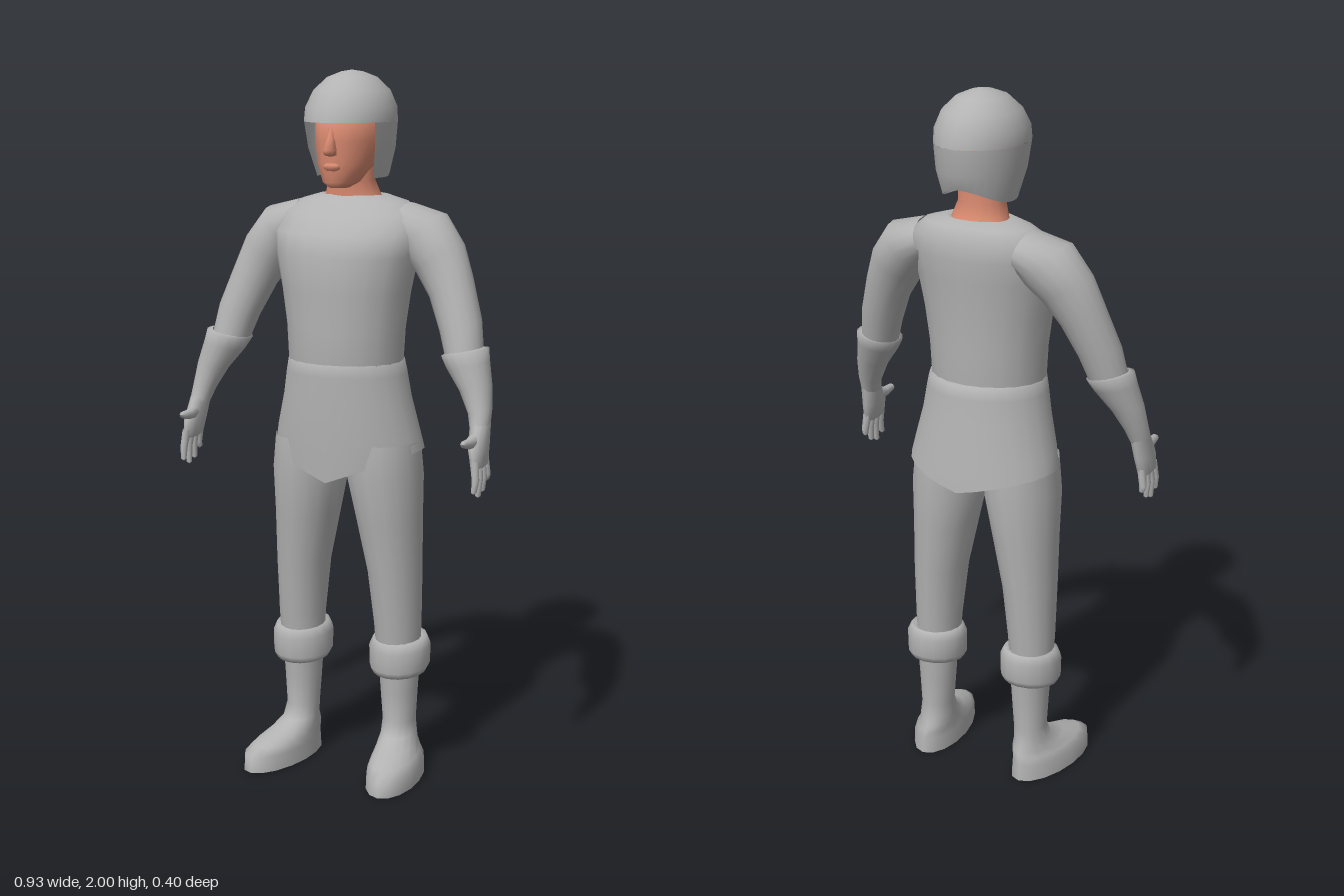
import * as THREE from 'three';

// Skin elliptical rings listed from base to tip.
// Ring: [x, y, z, radiusX, radiusZ, roll, pitch, skew]; y may be a function of angle.
function loft(rings, { seg = 16, side = 1, start = 0, arc = Math.PI * 2 } = {}) {
  const closed = arc >= Math.PI * 2 - 1e-6;
  const cols = closed ? seg : seg + 1;
  const pos = [], idx = [];
  for (const [x, y, z, a, b, roll = 0, pitch = 0, skew = 0] of rings) {
    for (let j = 0; j < cols; j++) {
      const t = start + (arc * j) / seg;
      const u = Math.cos(t) * a, v = Math.sin(t) * b;
      const py = typeof y === 'function' ? y(t) : y;
      pos.push(
        side * (x + u * Math.cos(roll) + skew * v),
        py + u * Math.sin(roll) + v * Math.sin(pitch),
        z + v * Math.cos(pitch));
    }
  }
  for (let i = 0; i < rings.length - 1; i++) {
    for (let j = 0; j < seg; j++) {
      const k = (j + 1) % cols;
      const p = i * cols + j, q = i * cols + k, r = p + cols, s = q + cols;
      if (side > 0) idx.push(p, r, q, q, r, s);
      else idx.push(p, q, r, q, s, r);
    }
  }
  const g = new THREE.BufferGeometry();
  g.setAttribute('position', new THREE.Float32BufferAttribute(pos, 3));
  g.setIndex(idx);
  g.computeVertexNormals();
  return g;
}

export function createModel() {
  const model = new THREE.Group();
  model.name = 'figure';
  const cloth = new THREE.MeshStandardMaterial({ color: 0xb3b3b3, side: THREE.DoubleSide });
  cloth.name = 'grey';
  const skin = new THREE.MeshStandardMaterial({ color: 0xd98a70 });
  skin.name = 'skin';

  const add = (name, rings, mat = cloth, opts) => {
    const m = new THREE.Mesh(loft(rings, opts), mat);
    m.name = name;
    model.add(m);
  };

  // Head and neck
  add('neck', [
    [0, 1.62, -0.07, 0.1, 0.08], [0, 1.66, -0.06, 0.08, 0.068],
    [0, 1.7, -0.05, 0.066, 0.062], [0, 1.78, -0.05, 0.066, 0.07],
  ], skin);
  add('head', [
    [0, 1.683, 0.03, 0, 0], [0, 1.685, 0.03, 0.028, 0.03], [0, 1.7, 0.015, 0.05, 0.062],
    [0, 1.75, -0.02, 0.077, 0.102], [0, 1.81, -0.035, 0.088, 0.12],
    [0, 1.88, -0.04, 0.088, 0.125], [0, 1.93, -0.045, 0, 0],
  ], skin);
  add('nose', [
    [0, 1.77, 0.08, 0, 0], [0, 1.775, 0.083, 0.018, 0.015],
    [0, 1.788, 0.085, 0.019, 0.027], [0, 1.82, 0.08, 0.012, 0.015], [0, 1.85, 0.078, 0.008, 0.006],
  ], skin, { seg: 8 });
  add('lips', [
    [0, 1.73, 0.07, 0.015, 0.008], [0, 1.738, 0.075, 0.025, 0.012],
    [0, 1.748, 0.074, 0.026, 0.014], [0, 1.756, 0.07, 0.012, 0.008],
  ], skin, { seg: 8 });

  // Helmet dome and the guard around ears and nape
  add('helmetDome', [
    [0, 1.862, -0.045, 0.123, 0.155], [0, 1.9, -0.047, 0.122, 0.148],
    [0, 1.945, -0.05, 0.103, 0.122], [0, 1.98, -0.05, 0.067, 0.08],
    [0, 1.995, -0.05, 0.03, 0.036], [0, 2, -0.05, 0, 0],
  ], cloth, { seg: 20 });
  const guardEdge = (t) => 1.71 + 0.04 * Math.max(0, -Math.sin(t)) ** 2;
  add('helmetGuard', [
    [0, guardEdge, -0.06, 0.097, 0.112], [0, 1.79, -0.051, 0.116, 0.141],
    [0, 1.862, -0.045, 0.123, 0.155],
  ], cloth, { seg: 18, start: -Math.PI - 0.5, arc: Math.PI + 1 });

  // Shirt body
  add('shirt', [
    [0, 1.14, -0.015, 0.16, 0.13], [0, 1.2, -0.013, 0.166, 0.142],
    [0, 1.3, -0.014, 0.172, 0.144], [0, 1.4, -0.016, 0.187, 0.148],
    [0, 1.5, -0.02, 0.208, 0.154], [0, 1.56, -0.035, 0.222, 0.146],
    [0, 1.61, -0.058, 0.205, 0.12], [0, 1.645, -0.068, 0.16, 0.092],
    [0, 1.662, -0.065, 0.1, 0.07], [0, 1.655, -0.06, 0.075, 0.062],
  ], cloth, { seg: 20 });

  // Tunic skirt with pointed hem, and hips beneath
  const hem = (t) => Math.sin(t) >= 0
    ? 0.87 + 0.085 * Math.abs(Math.cos(t))
    : 0.905 + 0.05 * Math.abs(Math.cos(t));
  add('tunicSkirt', [
    [0, hem, -0.04, 0.222, 0.16], [0, 1.0, -0.032, 0.213, 0.159],
    [0, 1.1, -0.024, 0.188, 0.154], [0, 1.17, -0.02, 0.176, 0.151],
    [0, 1.205, -0.018, 0.168, 0.15], [0, 1.21, -0.015, 0.155, 0.13],
  ], cloth, { seg: 24 });
  add('hips', [
    [0, 0.87, -0.03, 0.02, 0.03], [0, 0.9, -0.03, 0.1, 0.09],
    [0, 0.96, -0.03, 0.19, 0.125], [0, 1.08, -0.025, 0.17, 0.13],
  ]);

  for (const side of [1, -1]) {
    const label = side > 0 ? 'left' : 'right';
    const limb = (name, rings, seg = 16) => add(label + name, rings, cloth, { side, seg });

    // Legs
    limb('Leg', [
      [0.155, 0.36, -0.04, 0.063, 0.068], [0.154, 0.44, -0.038, 0.067, 0.076],
      [0.146, 0.6, -0.034, 0.076, 0.094], [0.13, 0.75, -0.03, 0.092, 0.11],
      [0.117, 0.88, -0.026, 0.107, 0.125], [0.112, 0.98, -0.025, 0.103, 0.12],
    ]);
    limb('BootCuff', [
      [0.157, 0.305, -0.045, 0.056, 0.062], [0.157, 0.3, -0.046, 0.078, 0.082, 0, -0.1],
      [0.157, 0.318, -0.047, 0.087, 0.091, 0, -0.1], [0.157, 0.375, -0.047, 0.088, 0.093, 0, -0.1],
      [0.157, 0.4, -0.046, 0.077, 0.082, 0, -0.1], [0.157, 0.398, -0.043, 0.06, 0.065],
    ]);
    limb('Boot', [
      [0.183, 0, 0.035, 0, 0], [0.183, 0, 0.035, 0.075, 0.165, 0, 0, 0.12],
      [0.183, 0, 0.035, 0.075, 0.165, 0, 0, 0.12], [0.183, 0.045, 0.035, 0.073, 0.162, 0, 0, 0.12],
      [0.176, 0.065, 0.02, 0.064, 0.143, 0, 0, 0.12], [0.166, 0.085, -0.012, 0.056, 0.105, 0, 0, 0.1],
      [0.16, 0.11, -0.038, 0.05, 0.068], [0.157, 0.15, -0.046, 0.047, 0.055],
      [0.156, 0.24, -0.046, 0.053, 0.06], [0.156, 0.32, -0.046, 0.058, 0.066],
    ]);

    // Arms
    limb('Sleeve', [
      [0.368, 1.23, 0, 0.052, 0.055, 0.2], [0.345, 1.32, -0.02, 0.06, 0.061, 0.3],
      [0.305, 1.42, -0.045, 0.066, 0.066, 0.45], [0.265, 1.495, -0.06, 0.077, 0.077, 0.55],
      [0.215, 1.555, -0.07, 0.082, 0.092, 0.85], [0.15, 1.59, -0.075, 0.055, 0.085, 1.3],
    ]);
    limb('GloveCuff', [
      [0.437, 1.06, 0.056, 0.027, 0.036, 0.2], [0.43, 1.1, 0.04, 0.033, 0.037, 0.2],
      [0.41, 1.16, 0.024, 0.045, 0.048, 0.2], [0.38, 1.22, 0.008, 0.06, 0.062, 0.2],
      [0.367, 1.253, 0, 0.066, 0.07, 0.2], [0.367, 1.257, 0, 0.05, 0.055, 0.2],
    ]);

    // Hand, fingers and thumb
    limb('Palm', [
      [0.448, 0.955, 0.083, 0.01, 0.035], [0.447, 0.965, 0.082, 0.019, 0.047],
      [0.442, 1.01, 0.076, 0.025, 0.05], [0.437, 1.07, 0.053, 0.027, 0.036],
    ], 12);
    for (let f = 0; f < 4; f++) {
      const z = 0.118 - f * 0.024;
      const tipY = [0.89, 0.875, 0.885, 0.91][f];
      const tipZ = z + 0.012 - f * 0.006;
      limb('Finger' + (f + 1), [
        [0.452, tipY, tipZ, 0, 0], [0.452, tipY + 0.006, tipZ, 0.008, 0.008],
        [0.454, 0.93, (z + tipZ) / 2, 0.011, 0.011], [0.447, 0.98, z, 0.013, 0.013],
      ], 8);
    }
    limb('Thumb', [
      [0.437, 1.03, 0.085, 0.018, 0.025, 0, -1.4], [0.435, 1.028, 0.125, 0.014, 0.015, 0, -1.4],
      [0.434, 1.032, 0.16, 0.011, 0.01, 0, -1.4], [0.434, 1.034, 0.171, 0, 0],
    ], 8);
  }
  return model;
}
